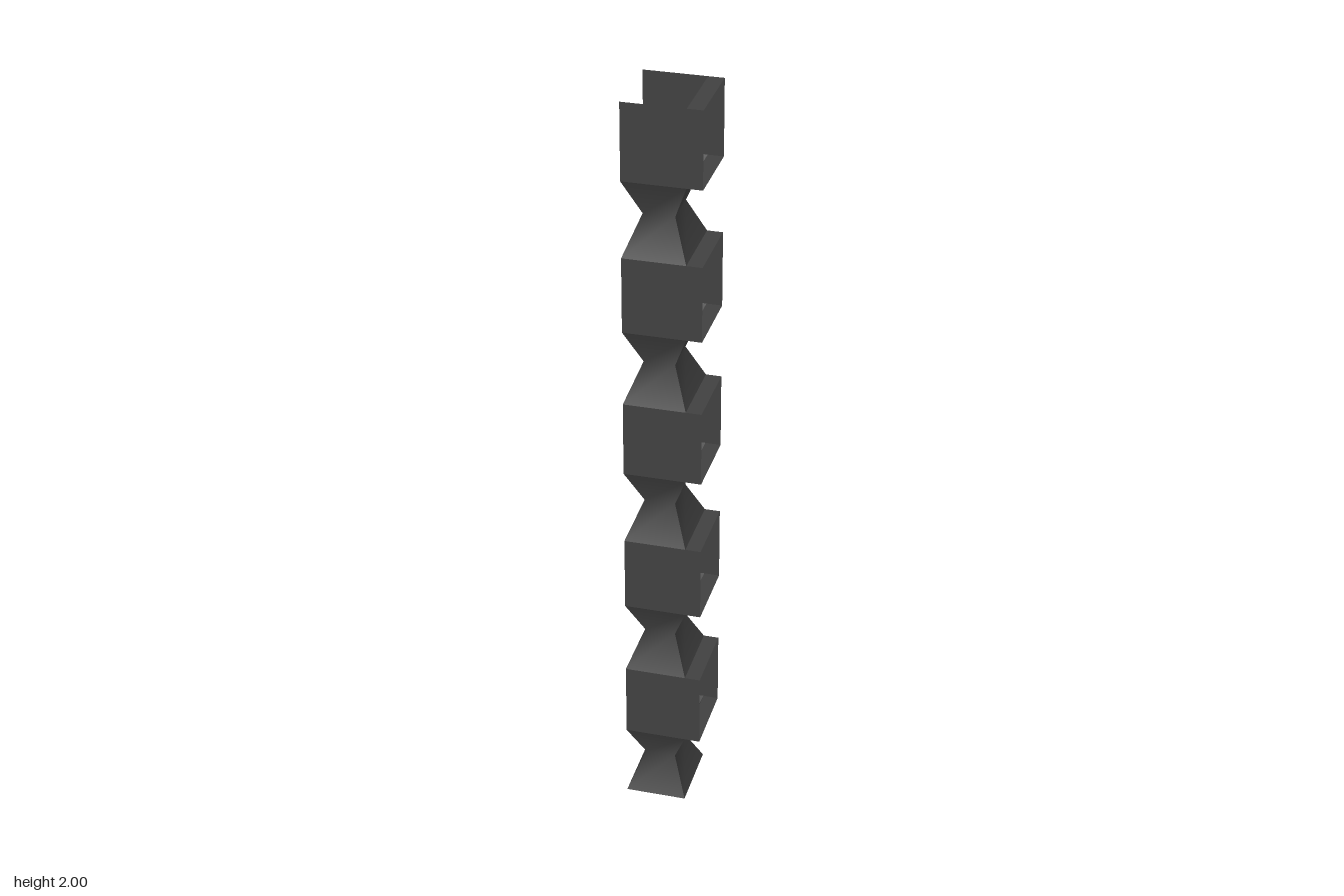
import * as THREE from 'three';

const material = new THREE.MeshStandardMaterial({ color: 0x404040, side: THREE.DoubleSide });

function addMesh(parent, name, geometry) {
  const mesh = new THREE.Mesh(geometry, material);
  mesh.name = name;
  parent.add(mesh);
  return mesh;
}

// Horizontal rectangle from x0 to x1, full depth, at height y
function addSlab(parent, name, x0, x1, y) {
  const geometry = new THREE.PlaneGeometry(x1 - x0, 0.2).rotateX(-Math.PI / 2);
  addMesh(parent, name, geometry).position.set((x0 + x1) / 2, y, 0);
}

// One side of the pinched sleeve: three rows of two points, smooth over the waist
function pinchedSide(a, b) {
  const positions = [];
  for (const [ring, y] of [[0, 0], [1, 0.1], [0, 0.2]]) {
    for (const corner of [a, b]) {
      const [x, z] = corner[ring];
      positions.push(x, y, z);
    }
  }
  const geometry = new THREE.BufferGeometry();
  geometry.setAttribute('position', new THREE.Float32BufferAttribute(positions, 3));
  geometry.setIndex([0, 1, 3, 0, 3, 2, 2, 3, 5, 2, 5, 4]);
  geometry.computeVertexNormals();
  return geometry;
}

export function createModel() {
  const model = new THREE.Group();
  model.name = 'segmentedColumn';

  // Corners as [end, waist] pairs of [x, z], anticlockwise seen from above
  const corners = [
    [[-0.1, 0.1], [-0.06, 0.05]],
    [[0.06, 0.1], [0.02, 0.05]],
    [[0.06, -0.1], [0.02, -0.05]],
    [[-0.1, -0.1], [-0.06, -0.05]],
  ];
  const sides = corners.map((c, i) => pinchedSide(c, corners[(i + 1) % 4]));
  const sideNames = ['pinchedFront', 'pinchedLeft', 'pinchedBack', 'pinchedRight'];
  const panel = new THREE.PlaneGeometry(0.2, 0.2);

  for (let i = 0; i < 5; i++) {
    const segment = new THREE.Group();
    segment.name = `segment${i + 1}`;
    segment.position.y = i * 0.4;

    // Pinched sleeve, closed below and open above
    sides.forEach((g, k) => addMesh(segment, sideNames[k], g));
    addSlab(segment, 'sleeveFloor', -0.1, 0.06, 0);

    // Straight front and back panels, open at both ends
    addMesh(segment, 'frontPanel', panel).position.set(0, 0.3, 0.1);
    const back = addMesh(segment, 'backPanel', panel);
    back.position.set(0, 0.3, -0.1);
    back.rotation.y = Math.PI;

    // Narrow ledges joining the panels beyond the sleeve
    addSlab(segment, 'lowerLedge', 0.06, 0.1, 0.2);
    addSlab(segment, 'upperLedge', 0.06, 0.1, 0.4);
    model.add(segment);
  }
  return model;
}
